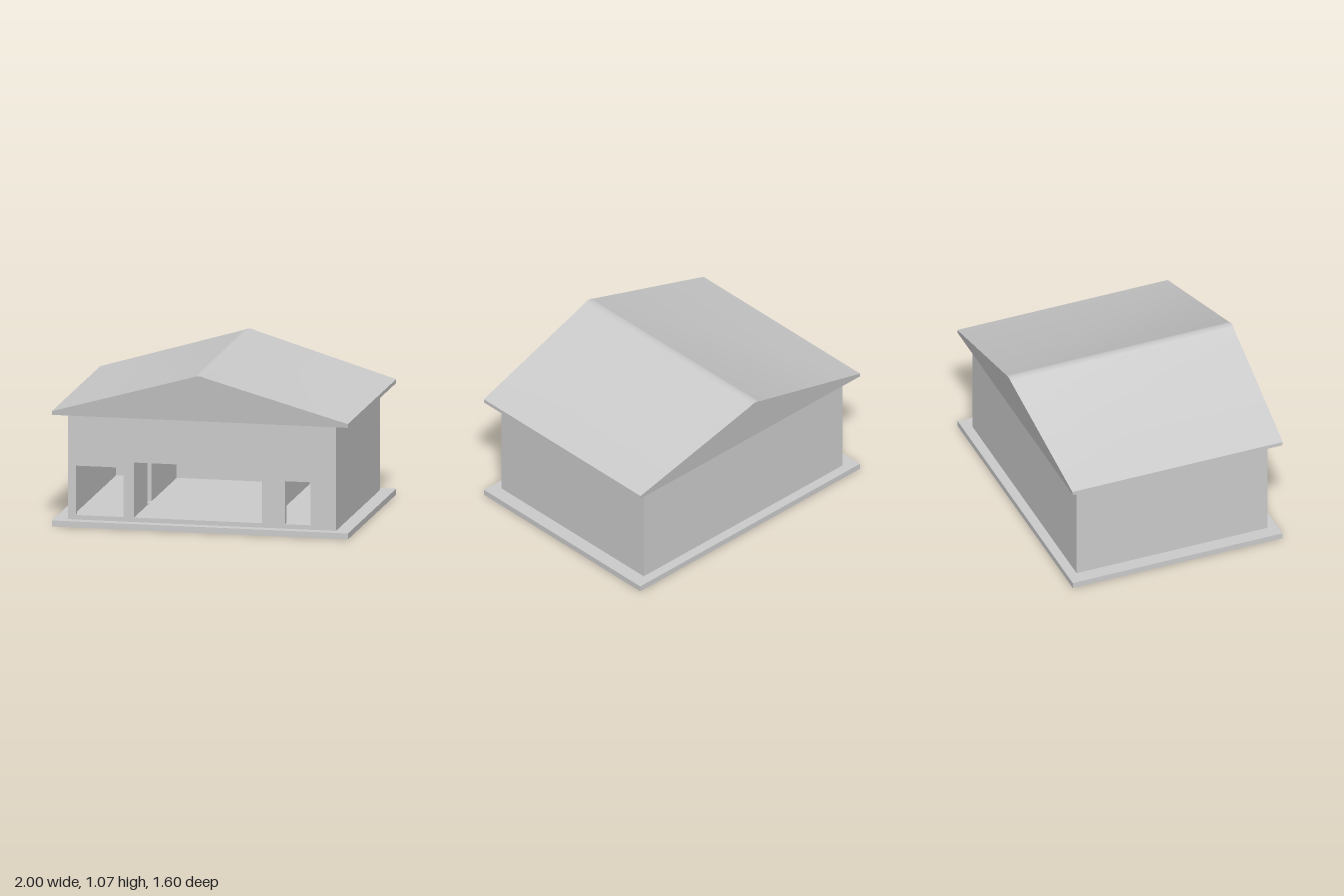
import * as THREE from 'three';
import { toCreasedNormals } from 'three/addons/utils/BufferGeometryUtils.js';

const material = new THREE.MeshStandardMaterial({ color: 0xcccccc });

const W = 0.905, D = 0.682;          // half width and half depth of the walls
const T = 0.036;                     // wall thickness
const BASE = 0.04, FLOOR = 0.07, EAVE = 0.752;

export function createModel() {
  const group = new THREE.Group();

  const add = (name, geometry, x = 0, y = 0, z = 0) => {
    const mesh = new THREE.Mesh(geometry, material);
    mesh.name = name;
    mesh.position.set(x, y, z);
    group.add(mesh);
    return mesh;
  };

  // Box given by its min and max corners
  const block = (name, x0, x1, y0, y1, z0, z1) =>
    add(name, new THREE.BoxGeometry(x1 - x0, y1 - y0, z1 - z0),
      (x0 + x1) / 2, (y0 + y1) / 2, (z0 + z1) / 2);

  const rect = (path, x0, x1, y0, y1) =>
    path.moveTo(x0, y0).lineTo(x1, y0).lineTo(x1, y1).lineTo(x0, y1).closePath();

  // Flat panel of wall thickness with rectangular openings [x0, x1, y0, y1]
  const panel = (x0, x1, y0, y1, openings) => {
    const shape = rect(new THREE.Shape(), x0, x1, y0, y1);
    for (const o of openings) shape.holes.push(rect(new THREE.Path(), ...o));
    return new THREE.ExtrudeGeometry(shape, { depth: T, bevelEnabled: false });
  };

  // Ground slab and raised floor
  block('groundSlab', -1, 1, 0, BASE, -0.748, 0.748);
  block('floor', -W + T, W - T, BASE, FLOOR, -D + T, D - T);

  // Outer walls
  block('backWall', -W, W, BASE, EAVE, -D, -D + T);
  for (const [name, x] of [['leftWall', W - T], ['rightWall', -W]])
    block(name, x, x + T, BASE, EAVE, -D + T, D - T);

  // Front wall with three openings
  add('frontWall', panel(-W, W, BASE, EAVE, [
    [-0.853, -0.53, FLOOR, 0.403],
    [-0.46, 0.405, FLOOR, 0.441],
    [0.562, 0.732, FLOOR, 0.36],
  ]), 0, 0, D - T);

  // Inner partitions, each with a doorway
  for (const [name, x] of [['leftPartition', 0.405 + T], ['rightPartition', -0.46]]) {
    const geometry = panel(-D + T, D - T, FLOOR, EAVE, [[0.13, 0.26, FLOOR + 0.001, 0.4]]);
    geometry.rotateY(-Math.PI / 2);
    add(name, geometry, x);
  }

  // Gable roof with a rounded ridge
  const profile = [[-1, EAVE], [1, EAVE], [1, 0.778]];
  const ridge = [[0.042, 1.055], [0.032, 1.0605], [0.018, 1.0645], [0, 1.066]];
  profile.push(...ridge, ...ridge.slice(0, -1).reverse().map(([x, y]) => [-x, y]), [-1, 0.778]);
  const roof = new THREE.ExtrudeGeometry(
    new THREE.Shape(profile.map(([x, y]) => new THREE.Vector2(x, y))),
    { depth: 2, bevelEnabled: false });
  roof.translate(0, 0, -1);

  // Gable ends lean outward towards the ridge
  const p = roof.attributes.position;
  for (let i = 0; i < p.count; i++) {
    const lean = (p.getY(i) - EAVE) / (1.066 - EAVE);
    p.setZ(i, Math.sign(p.getZ(i)) * (0.747 + 0.051 * lean));
  }
  roof.computeVertexNormals();
  add('roof', toCreasedNormals(roof, 0.25));

  return group;
}
